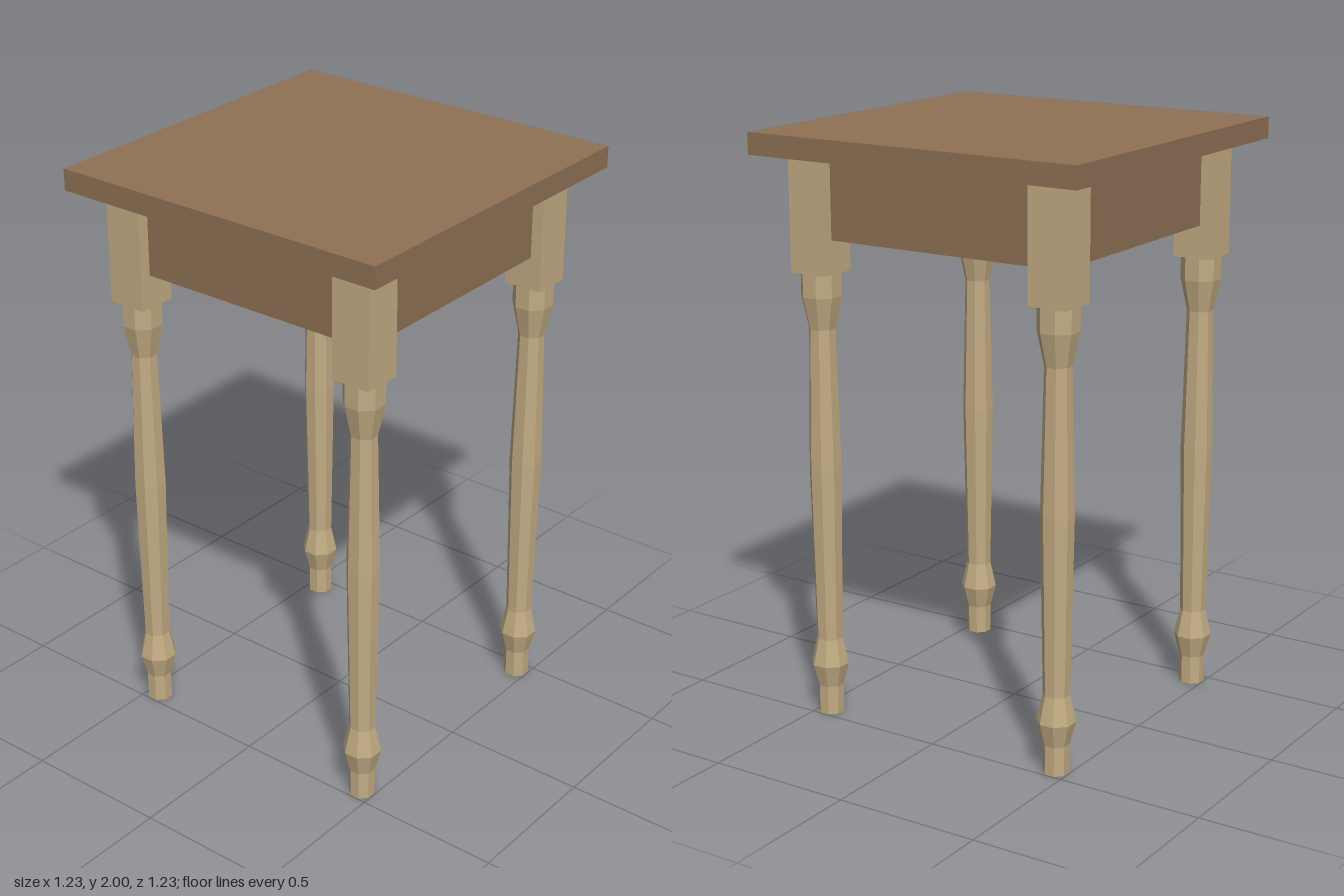
import * as THREE from 'three';

export function createModel() {
  const table = new THREE.Group();
  table.name = 'sideTable';

  const darkWood = new THREE.MeshStandardMaterial({ color: 0x8e7155 });
  darkWood.name = 'dark wood';
  const paleWood = new THREE.MeshStandardMaterial({ color: 0xc2ab83 });
  paleWood.name = 'pale wood';

  const add = (parent, name, geometry, material, x, y, z) => {
    const mesh = new THREE.Mesh(geometry, material);
    mesh.name = name;
    mesh.position.set(x, y, z);
    parent.add(mesh);
    return mesh;
  };

  const legOffset = 0.455; // leg centre from the middle
  const blockSize = 0.137;
  const blockBottom = 1.54;
  const underside = 1.927; // underside of the table top

  // Square table top
  add(table, 'tableTop', new THREE.BoxGeometry(1.226, 2 - underside, 1.226), darkWood, 0, (2 + underside) / 2, 0);

  // Eight-sided turned leg: half width across flats, height
  const profile = [
    [0, 0], [0.041, 0], [0.041, 0.1], [0.06, 0.178], [0.041, 0.27],
    [0.051, 0.87], [0.041, 1.35], [0.063, 1.46], [0.063, blockBottom], [0, blockBottom],
  ].map(([r, y]) => new THREE.Vector2(r / Math.cos(Math.PI / 8), y));
  const turned = new THREE.LatheGeometry(profile, 8, Math.PI / 8).toNonIndexed();
  turned.computeVertexNormals(); // one normal per facet
  const block = new THREE.BoxGeometry(blockSize, underside - blockBottom, blockSize);

  for (const [side, sx] of [['Left', 1], ['Right', -1]]) {
    for (const [end, sz] of [['front', 1], ['back', -1]]) {
      const leg = new THREE.Group();
      leg.name = `${end}${side}Leg`;
      leg.position.set(sx * legOffset, 0, sz * legOffset);
      add(leg, 'turnedLeg', turned, paleWood, 0, 0, 0);
      add(leg, 'legBlock', block, paleWood, 0, (underside + blockBottom) / 2, 0);
      table.add(leg);
    }
  }

  // Apron boards between the leg blocks
  const apronBottom = 1.653;
  const board = new THREE.BoxGeometry(2 * legOffset - blockSize, underside - apronBottom, 0.057);
  ['frontApron', 'leftApron', 'backApron', 'rightApron'].forEach((name, i) => {
    const a = (i * Math.PI) / 2;
    add(table, name, board, darkWood, Math.sin(a) * legOffset, (underside + apronBottom) / 2, Math.cos(a) * legOffset)
      .rotation.y = a;
  });

  return table;
}
